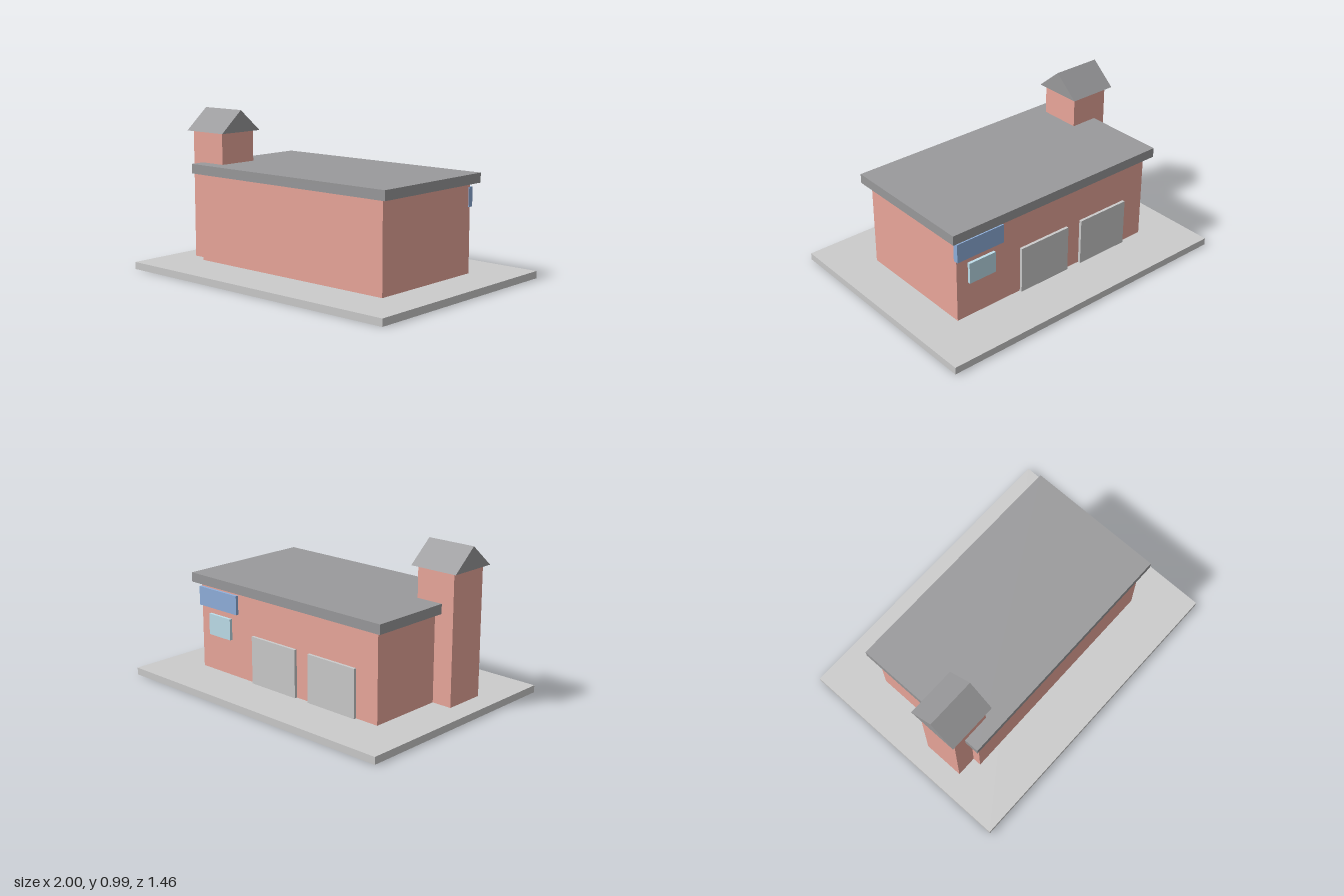
import * as THREE from 'three';

const material = (color) => new THREE.MeshStandardMaterial({ color });

export function createModel() {
  const group = new THREE.Group();
  const concrete = material(0xcccccc);
  const brick = material(0xeba89c);
  const roofing = material(0x9a9a9c);
  const glass = material(0xbedfeb);
  const signBlue = material(0x90b0dc);

  // Box given by its extents on each axis
  function box(name, mat, [x0, x1], [y0, y1], [z0, z1]) {
    const mesh = new THREE.Mesh(new THREE.BoxGeometry(x1 - x0, y1 - y0, z1 - z0), mat);
    mesh.position.set((x0 + x1) / 2, (y0 + y1) / 2, (z0 + z1) / 2);
    mesh.name = name;
    group.add(mesh);
  }

  const ground = 0.045;

  // Slab, main hall and its flat overhanging roof
  box('baseSlab', concrete, [-1, 1], [0, ground], [-0.73, 0.73]);
  box('mainHall', brick, [-0.73, 0.73], [ground, 0.595], [-0.405, 0.405]);
  box('flatRoof', roofing, [-0.777, 0.777], [0.595, 0.655], [-0.445, 0.445]);

  // Tower
  box('tower', brick, [-0.86, -0.6], [ground, 0.85], [0.085, 0.35]);

  // Gabled tower roof, ridge along x
  const gable = new THREE.Shape([
    new THREE.Vector2(-0.16, 0),
    new THREE.Vector2(0.16, 0),
    new THREE.Vector2(0, 0.137),
  ]);
  const gableGeometry = new THREE.ExtrudeGeometry(gable, { depth: 0.32, bevelEnabled: false });
  gableGeometry.translate(0, 0, -0.16).rotateY(Math.PI / 2);
  const towerRoof = new THREE.Mesh(gableGeometry, roofing);
  towerRoof.position.set(-0.732, 0.85, 0.215);
  towerRoof.name = 'towerRoof';
  group.add(towerRoof);

  // Back wall: two garage doors, window and sign panel
  [-0.57, -0.1].forEach((x, i) =>
    box(`garageDoor${i + 1}`, concrete, [x, x + 0.365], [ground, 0.345], [-0.423, -0.395]));
  box('window', glass, [0.46, 0.65], [0.275, 0.41], [-0.423, -0.395]);
  box('signPanel', signBlue, [0.4, 0.735], [0.45, 0.57], [-0.423, -0.39]);

  return group;
}
